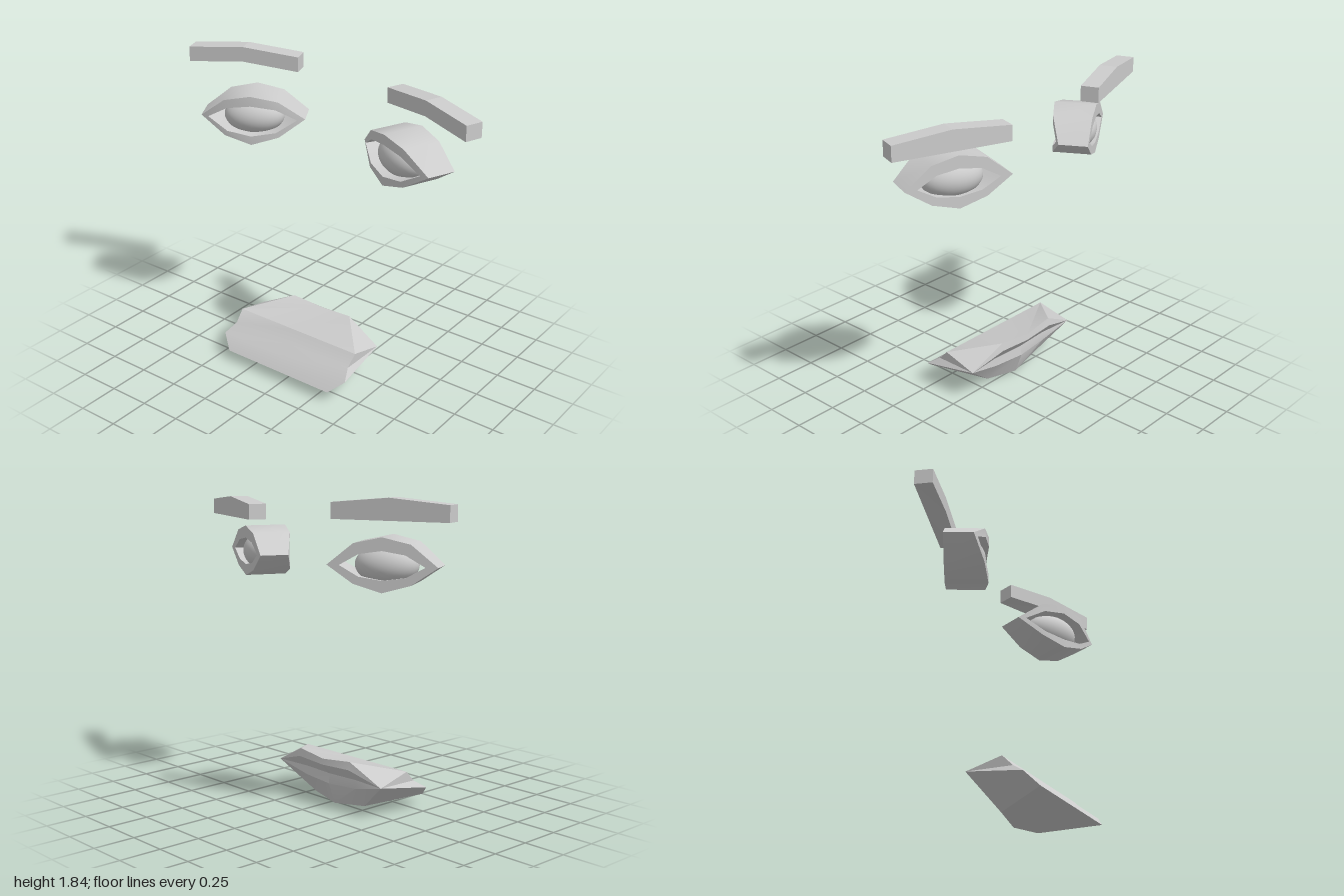
import * as THREE from 'three';
import { toCreasedNormals } from 'three/addons/utils/BufferGeometryUtils.js';

const material = new THREE.MeshStandardMaterial({ color: 0xcccccc });

// Skin a series of closed cross-sections; either joins the last to the first or caps both ends.
function loft(rows, ring, crease) {
  const pos = [];
  const [ab, ac] = [new THREE.Vector3(), new THREE.Vector3()];
  const tri = (a, b, c) => {
    ab.set(b[0] - a[0], b[1] - a[1], b[2] - a[2]);
    ac.set(c[0] - a[0], c[1] - a[1], c[2] - a[2]);
    if (ab.cross(ac).length() > 1e-7) pos.push(...a, ...b, ...c);
  };
  const n = rows[0].length;
  const spans = ring ? rows.length : rows.length - 1;
  for (let i = 0; i < spans; i++) {
    const r = rows[i], s = rows[(i + 1) % rows.length];
    for (let j = 0; j < n; j++) {
      const k = (j + 1) % n;
      tri(r[j], s[j], s[k]);
      tri(r[j], s[k], r[k]);
    }
  }
  if (!ring) {
    const first = rows[0], last = rows[rows.length - 1];
    for (let j = 0; j < n - 2; j++) {
      tri(first[n - 1], first[j], first[j + 1]);
      tri(last[n - 1], last[j + 1], last[j]);
    }
  }
  const g = new THREE.BufferGeometry();
  g.setAttribute('position', new THREE.Float32BufferAttribute(pos, 3));
  return toCreasedNormals(g, crease);
}

function mesh(name, geometry) {
  const m = new THREE.Mesh(geometry, material);
  m.name = name;
  return m;
}

// Eyebrow: bent bar, arched on top and along the lower front edge
function eyebrowGeometry() {
  const section = (x, lift) => [
    [x, lift, 0.053], [x, 0.09 + lift, 0.053], [x, 0.09 + lift, -0.053], [x, 0, -0.053],
  ];
  return loft([section(-0.342, 0), section(0, 0.03), section(0.342, 0)], false, 0.05);
}

// Eyelids: thick almond ring, bulging on one side and flat on the other
function eyelidGeometry() {
  const almond = (w, m, top, topMid, low, lowMid) => [
    [w, 0], [m, topMid], [0, top], [-m, topMid],
    [-w, 0], [-m, -lowMid], [0, -low], [m, -lowMid],
  ];
  const outer = almond(0.31, 0.16, 0.155, 0.12, 0.145, 0.1);
  const innerFront = almond(0.265, 0.145, 0.095, 0.072, 0.092, 0.07);
  const innerBack = almond(0.24, 0.13, 0.082, 0.062, 0.078, 0.06);
  const bulge = x => 0.165 - 0.08 * (x / 0.31) ** 2;
  const front = ([x, y]) => [x, y, bulge(x)];
  const back = ([x, y]) => [x, y, -0.085];
  return loft([outer.map(front), outer.map(back), innerBack.map(back), innerFront.map(front)], true, 0.6);
}

// Mouth: wedge block whose far side carries two lips meeting at the swept-back corners
function mouthGeometry() {
  const at = (x, profile) => profile.map(([y, z]) => [x, y, z]);
  const slope = [[0.07, 0.345], [0.14, 0.285], [0.19, 0.21], [0.255, 0.147]];
  const slopeX = [0.375, 0.457, 0.425, 0.43];
  const slopeEnd = slope.map(([y, z], i) => [slopeX[i], y, z]);
  const centre = at(0, [...slope,
    [0.295, -0.115], [0.26, -0.12], [0.195, -0.06], [0.135, -0.068], [0.005, -0.02]]);
  const half = [...slopeEnd, ...at(0.212,
    [[0.315, -0.1], [0.268, -0.11], [0.197, -0.05], [0.145, -0.055], [0.025, 0.02]])];
  const corner = [0.438, 0.2, -0.072];
  const end = [...slopeEnd, corner, corner, corner, corner, corner];
  const flip = row => row.map(([x, y, z]) => [-x, y, z]);
  return loft([flip(end), flip(half), centre, half, end], false, 0.5);
}

export function createModel() {
  const model = new THREE.Group();
  const browGeo = eyebrowGeometry();
  const lidGeo = eyelidGeometry();
  const ballGeo = new THREE.SphereGeometry(1, 32, 20);

  // Each side has its own slight tilt and height
  const sides = [
    { side: 'right', eye: [-0.527, 1.475, -0.102], eyeTurn: 0.515, brow: [-0.66, 1.725, -0.185], browTurn: 0.345 },
    { side: 'left', eye: [0.558, 1.477, -0.098], eyeTurn: -0.393, brow: [0.659, 1.685, -0.17], browTurn: -0.349 },
  ];
  for (const s of sides) {
    const eye = new THREE.Group();
    eye.name = s.side + 'Eye';
    const ball = mesh(s.side + 'Eyeball', ballGeo);
    ball.scale.set(0.18, 0.112, 0.12);
    ball.position.z = 0.03;
    eye.add(mesh(s.side + 'Eyelids', lidGeo), ball);
    eye.position.set(...s.eye);
    eye.rotation.y = s.eyeTurn;

    const brow = mesh(s.side + 'Eyebrow', browGeo);
    brow.position.set(...s.brow);
    brow.rotation.y = s.browTurn;
    model.add(eye, brow);
  }

  const mouth = mesh('mouth', mouthGeometry());
  mouth.position.x = -0.033;
  model.add(mouth);
  return model;
}
